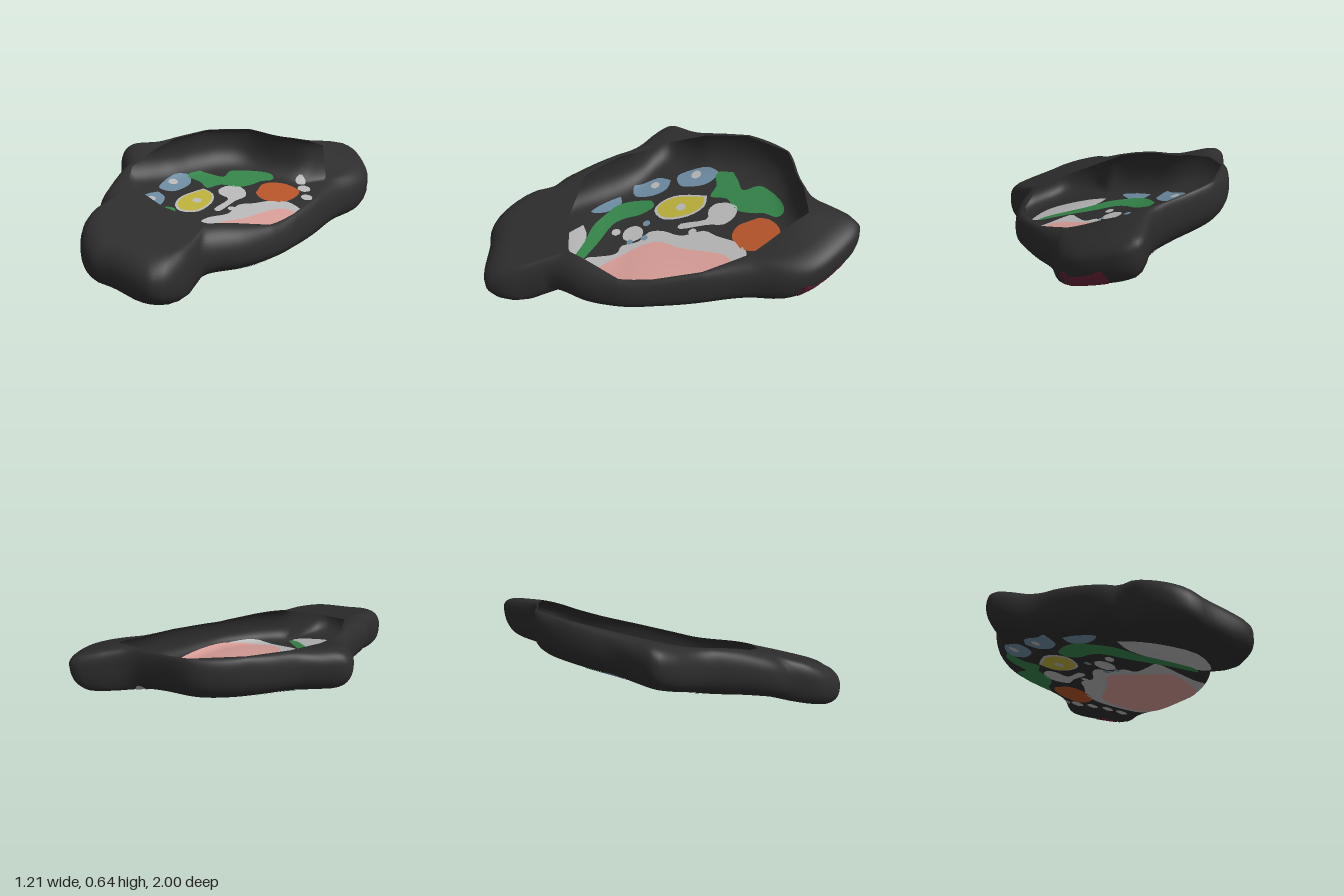
import * as THREE from 'three';

const mat = (name, color, side = THREE.FrontSide) => {
  const m = new THREE.MeshStandardMaterial({ color, side });
  m.name = name;
  return m;
};

// Plan outline of the body and of the opening in its top, as [x, z]
const OUTLINE = [[0.3, -1], [0.38, -0.98], [0.5, -0.87], [0.57, -0.77], [0.595, -0.66], [0.575, -0.5], [0.575, -0.38],
  [0.59, -0.2], [0.6, 0], [0.6, 0.15], [0.57, 0.3], [0.53, 0.42], [0.46, 0.55], [0.44, 0.63], [0.475, 0.72], [0.48, 0.85],
  [0.45, 0.94], [0.36, 0.97], [0.2, 0.98], [0.1, 1], [0, 0.96], [-0.1, 0.85], [-0.13, 0.72], [-0.21, 0.63], [-0.3, 0.45],
  [-0.4, 0.27], [-0.54, 0.15], [-0.605, 0.05], [-0.56, -0.05], [-0.48, -0.18], [-0.43, -0.35], [-0.35, -0.53],
  [-0.22, -0.66], [0, -0.715], [0.15, -0.78], [0.24, -0.92]];
const OPENING = [[0.28, -0.74], [0.47, -0.46], [0.55, -0.22], [0.565, 0.02], [0.55, 0.2], [0.38, 0.49], [0.13, 0.53],
  [-0.15, 0.49], [-0.3, 0.3], [-0.39, 0.05], [-0.41, -0.18], [-0.36, -0.42], [-0.2, -0.64], [0.03, -0.71]];

const CX = 0.08, CZ = -0.05;
const vec = (pts) => pts.map(([x, z]) => new THREE.Vector2(x, z));
const smooth = (pts, n) => new THREE.SplineCurve(vec([...pts, pts[0]])).getPoints(pts.length * n).slice(0, -1);
const bodyLine = smooth(OUTLINE, 4);
const openLine = vec(OPENING);

// Distance from the plan centre to a closed line along angle a
function reach(line, a) {
  const c = Math.cos(a), s = Math.sin(a);
  let best = 0;
  line.forEach((p, i) => {
    const q = line[(i + 1) % line.length];
    const px = p.x - CX, pz = p.y - CZ, dx = q.x - p.x, dz = q.y - p.y;
    const den = c * dz - s * dx;
    if (Math.abs(den) < 1e-9) return;
    const t = (px * dz - pz * dx) / den, u = (px * s - pz * c) / den;
    if (t > 0 && u >= -1e-6 && u <= 1 + 1e-6) best = Math.max(best, t);
  });
  return best;
}

// Tilted top and bottom levels, with gentle swells at the rim, side and front lobe
const { lerp, smoothstep } = THREE.MathUtils;
const swell = (x, z, cx, cz, r) => Math.exp(-((x - cx) ** 2 + (z - cz) ** 2) / (r * r));
const topY = (x, z) => 0.46 - 0.27 * x - 0.2 * z + 0.05 * smoothstep(z, 0.1, 0.5) + 0.035 * swell(x, z, 0.25, -0.68, 0.2);
const baseY = (x, z) => Math.max(0, 0.225 - 0.25 * x - 0.2 * z
  + 0.04 * swell(x, z, 0.5, 0.18, 0.25) + 0.045 * smoothstep(z, 0.2, 0.6));
const midY = (x, z) => lerp(baseY(x, z), topY(x, z), 0.52 + 0.14 * smoothstep(-z, 0.6, 0.8));
const W = 0.13; // width of the rounded lower edge
const round = (s, w) => Math.max(0, 1 - (1 - Math.min(1, s / w)) ** 2.3) ** (1 / 2.3);
const lowerY = (x, z, s) => lerp(midY(x, z), baseY(x, z), round(s, W));

// Hollow body: top rim, rounded sides and floor in one run of rings
function bodyGeometry() {
  const N = 180, TOP = 6, EDGE = 12, FLOOR = 14, rings = TOP + 2 * EDGE + FLOOR;
  const pos = [], index = [];
  const radii = Array.from({ length: N }, (_, j) => {
    const a = (j / N) * Math.PI * 2, R = reach(bodyLine, a);
    return [a, R, Math.min(reach(openLine, a), R - 0.025)];
  });
  for (let i = 0; i <= rings; i++) {
    for (const [a, R, open] of radii) {
      const w = Math.min(0.14, R - open);
      const at = (r) => [CX + r * Math.cos(a), CZ + r * Math.sin(a)];
      let r, y;
      if (i <= TOP + EDGE) {
        const k = Math.max(0, i - TOP) / EDGE * Math.PI / 2;
        r = i <= TOP ? lerp(open, R - w, i / TOP) : R - w + w * Math.sin(k);
        const [x, z] = at(r);
        y = lerp(midY(x, z), topY(x, z), round(R - r, w));
      } else {
        const e = i - TOP - EDGE;
        r = e <= EDGE ? R - W + W * Math.cos(e / EDGE * Math.PI / 2) : (R - W) * (1 - (e - EDGE) / FLOOR);
        y = lowerY(...at(r), R - r);
      }
      const [x, z] = at(r);
      pos.push(x, y, z);
    }
  }
  for (let i = 0; i < rings; i++) {
    for (let j = 0; j < N; j++) {
      const a = i * N + j, b = i * N + (j + 1) % N;
      index.push(a, b, a + N, b, b + N, a + N);
    }
  }
  const g = new THREE.BufferGeometry();
  g.setAttribute('position', new THREE.Float32BufferAttribute(pos, 3));
  g.setIndex(index);
  g.computeVertexNormals();
  return g;
}

// Height and normal of the floor at a plan point
function floorAt(x, z) {
  const h = (u, v) => {
    const R = reach(bodyLine, Math.atan2(v - CZ, u - CX));
    return lowerY(u, v, Math.max(0.002, R - Math.hypot(u - CX, v - CZ)));
  };
  const y = h(x, z), e = 0.004;
  return [new THREE.Vector3(x, y, z), new THREE.Vector3((y - h(x + e, z)) / e, 1, (y - h(x, z + e)) / e).normalize()];
}

// Thin painted patch that follows the floor, on its inner and outer face
function patchGeometry(line, lift) {
  const pos = [], nor = [], cache = new Map();
  const sample = (p) => {
    const key = p.x.toFixed(6) + ',' + p.y.toFixed(6);
    if (!cache.has(key)) cache.set(key, floorAt(p.x, p.y));
    return cache.get(key);
  };
  const emit = (tri, side) => tri.forEach((p) => {
    const [at, n] = sample(p);
    pos.push(...at.clone().addScaledVector(n, side * lift).toArray());
    nor.push(n.x * side, n.y * side, n.z * side);
  });
  const split = (a, b, c) => {
    const ab = a.distanceTo(b), bc = b.distanceTo(c), ca = c.distanceTo(a), m = Math.max(ab, bc, ca);
    if (m < 0.035) {
      emit([a, c, b], 1);
      emit([a, b, c], -1);
    } else if (m === ab) {
      const d = a.clone().lerp(b, 0.5);
      split(a, d, c); split(d, b, c);
    } else if (m === bc) split(b, c, a);
    else split(c, a, b);
  };
  for (const [i, j, k] of THREE.ShapeUtils.triangulateShape(line, [])) {
    const a = line[i], b = line[j], c = line[k];
    const turn = (b.x - a.x) * (c.y - a.y) - (b.y - a.y) * (c.x - a.x);
    if (turn > 0) split(a, b, c); else split(a, c, b);
  }
  const g = new THREE.BufferGeometry();
  g.setAttribute('position', new THREE.Float32BufferAttribute(pos, 3));
  g.setAttribute('normal', new THREE.Float32BufferAttribute(nor, 3));
  return g;
}

export function createModel() {
  const model = new THREE.Group();
  const dark = mat('charcoal', 0x2d2d2d, THREE.DoubleSide);
  const white = mat('pale grey', 0xb6b6b6), pink = mat('pink', 0xd69c96), green = mat('green', 0x348349);
  const orange = mat('orange', 0xb4542a), yellow = mat('yellow', 0xbaae38), blue = mat('blue', 0x6c8aa0);
  const maroon = mat('maroon', 0x6a2338);

  const add = (name, geometry, material) => {
    const m = new THREE.Mesh(geometry, material);
    m.name = name;
    model.add(m);
  };
  add('hollowBody', bodyGeometry(), dark);

  const patch = (name, material, pts, layer = 1) => add(name, patchGeometry(smooth(pts, 3), 0.003 * layer), material);
  const dot = (name, material, x, z, r, layer = 1) => patch(name, material,
    Array.from({ length: 6 }, (_, i) => [x + r * Math.cos(i * Math.PI / 3), z + r * Math.sin(i * Math.PI / 3)]), layer);

  // Large pink field with its pale border
  patch('paleBorder', white, [[0.14, -0.36], [0.2, -0.43], [0.28, -0.44], [0.4, -0.39], [0.5, -0.3], [0.55, -0.15],
    [0.565, 0.1], [0.55, 0.27], [0.49, 0.4], [0.33, 0.44], [0.2, 0.45], [0.18, 0.38], [0.16, 0.28], [0.1, 0.25],
    [0.08, 0.16], [0.02, 0.11], [0.02, 0.03], [0.07, -0.08], [0.05, -0.2], [0.1, -0.28]]);
  patch('pinkField', pink, [[0.3, -0.37], [0.42, -0.33], [0.52, -0.22], [0.56, -0.1], [0.575, 0.1], [0.55, 0.22],
    [0.48, 0.33], [0.35, 0.4], [0.28, 0.38], [0.2, 0.28], [0.12, 0.15], [0.1, 0.04], [0.16, -0.08], [0.2, -0.22],
    [0.24, -0.33]], 2);

  // Green bands
  patch('rearGreenBand', green, [[-0.36, -0.35], [-0.38, -0.25], [-0.28, -0.255], [-0.2, -0.225], [-0.17, -0.32],
    [-0.08, -0.37], [-0.04, -0.46], [-0.03, -0.53], [0.01, -0.6], [-0.02, -0.64], [-0.1, -0.62], [-0.18, -0.57],
    [-0.24, -0.5], [-0.22, -0.41], [-0.3, -0.38]]);
  patch('frontGreenBand', green, [[-0.22, 0.12], [-0.17, 0.1], [-0.12, 0.17], [-0.1, 0.26], [-0.05, 0.33], [0.08, 0.39],
    [0.22, 0.465], [0.37, 0.54], [0.33, 0.57], [0.18, 0.51], [0.08, 0.47], [-0.04, 0.44], [-0.13, 0.38], [-0.2, 0.32],
    [-0.23, 0.23]], 2);

  // Orange and yellow spots
  patch('orangeSpot', orange, [[0, -0.5], [0.02, -0.56], [0.08, -0.61], [0.15, -0.62], [0.21, -0.6], [0.23, -0.52],
    [0.22, -0.44], [0.17, -0.38], [0.1, -0.36], [0.04, -0.39], [0.02, -0.44]]);
  const ring = [[-0.2, -0.19], [-0.13, -0.18], [-0.08, -0.1], [-0.075, 0.02], [-0.14, 0.08], [-0.2, 0.04], [-0.225, -0.05]];
  patch('yellowHalo', white, ring.map(([x, z]) => [-0.14 + (x + 0.14) * 1.18, -0.06 + (z + 0.06) * 1.11]));
  patch('yellowSpot', yellow, ring, 2);
  dot('yellowSpotCentre', white, -0.14, -0.06, 0.028, 3);

  // Blue spots along the right edge
  patch('rearBlueSpot', blue, [[-0.385, -0.26], [-0.34, -0.24], [-0.3, -0.18], [-0.3, -0.08], [-0.33, -0.03], [-0.4, -0.02],
    [-0.43, -0.1], [-0.42, -0.2]]);
  dot('rearBlueCentre', white, -0.385, -0.13, 0.03, 2);
  patch('middleBlueSpot', blue, [[-0.37, 0.02], [-0.3, 0.04], [-0.26, 0.12], [-0.27, 0.22], [-0.34, 0.24], [-0.36, 0.19],
    [-0.4, 0.1]]);
  dot('middleBlueCentre', white, -0.34, 0.11, 0.026, 2);
  patch('frontBlueSpot', blue, [[-0.27, 0.31], [-0.21, 0.3], [-0.15, 0.38], [-0.15, 0.47], [-0.22, 0.4]]);
  dot('smallBlueSpot', blue, -0.05, 0.13, 0.022);
  dot('smallBlueSpot', blue, 0.06, 0.13, 0.02, 2);
  dot('smallBlueSpot', blue, 0.08, 0.21, 0.018, 2);

  // Pale spots
  patch('paleDrop', white, [[-0.14, -0.32], [-0.1, -0.38], [-0.03, -0.37], [0.02, -0.31], [0.01, -0.22], [0.02, -0.07],
    [-0.02, -0.07], [-0.03, -0.21], [-0.1, -0.22], [-0.14, -0.26]]);
  patch('paleFrontSpot', white, [[-0.05, 0.5], [0.04, 0.465], [0.2, 0.5], [0.36, 0.56], [0.39, 0.65], [0.25, 0.75],
    [0.08, 0.66]]);
  [[0.02, 0.2, 0.06], [0, 0.3, 0.026], [0.05, -0.14, 0.024], [0.15, -0.705, 0.032], [0.21, -0.65, 0.04],
    [0.28, -0.57, 0.035], [0.355, -0.505, 0.035], [0.43, -0.465, 0.035]]
    .forEach(([x, z, r]) => dot('paleDot', white, x, z, r));

  // Dark red panel on the side of the rear lobe
  patch('maroonPanel', maroon, [[0.42, -0.72], [0.5, -0.695], [0.585, -0.7], [0.582, -0.735], [0.562, -0.77],
    [0.53, -0.82], [0.49, -0.87], [0.445, -0.915], [0.41, -0.88]]);
  return model;
}
